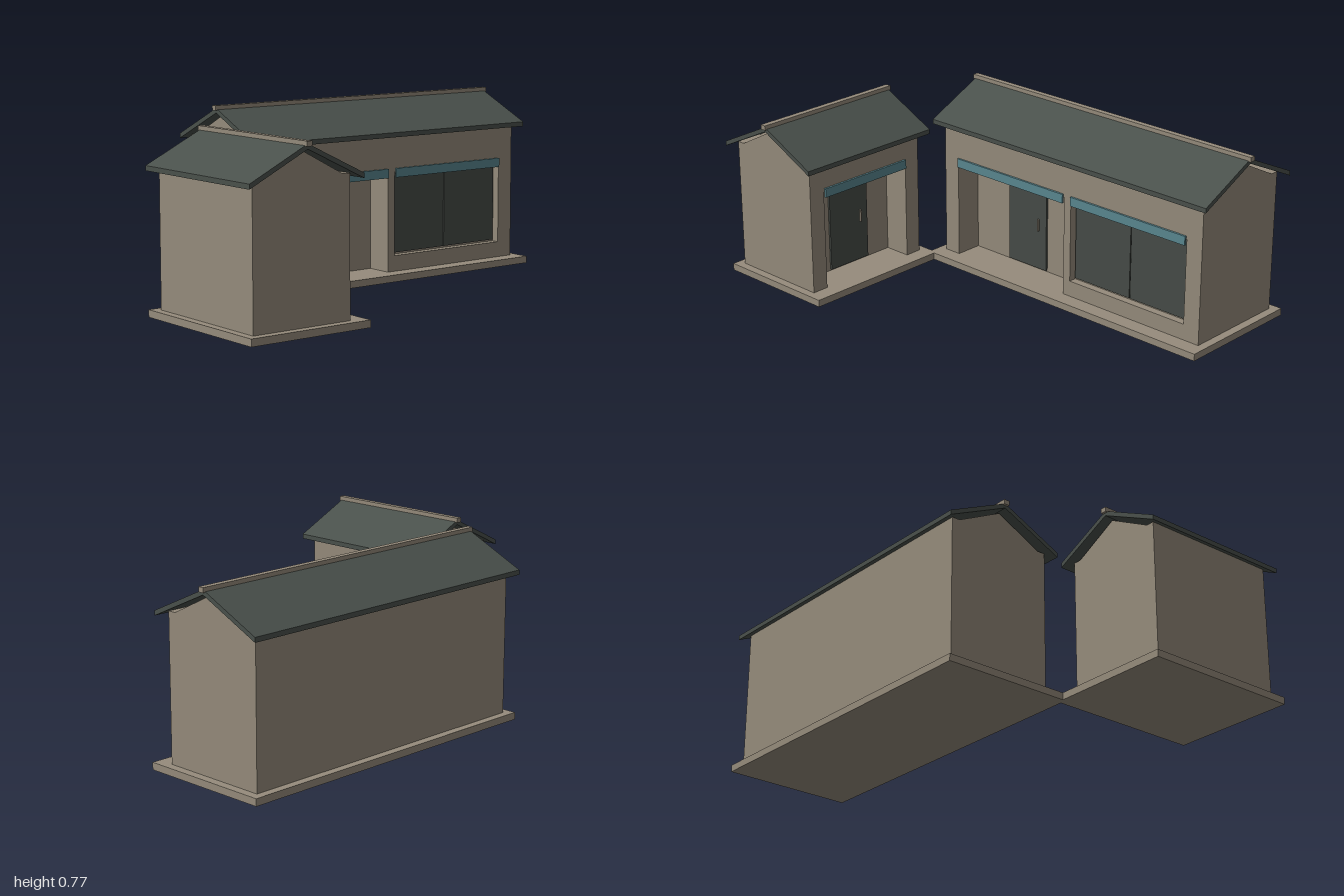
import * as THREE from 'three';

const mat = (name, color) => {
  const m = new THREE.MeshStandardMaterial({ color });
  m.name = name;
  return m;
};

export function createModel() {
  const plaster = mat('taupe plaster', 0x968c7c);
  const slate = mat('dark slate', 0x4a514c);
  const glass = mat('dark glass', 0x474c48);
  const teal = mat('teal fascia', 0x5a8891);

  // Box given by its ranges on each axis
  function box(parent, name, m, [x0, x1], [y0, y1], [z0, z1]) {
    const mesh = new THREE.Mesh(new THREE.BoxGeometry(x1 - x0, y1 - y0, z1 - z0), m);
    mesh.position.set((x0 + x1) / 2, (y0 + y1) / 2, (z0 + z1) / 2);
    mesh.name = name;
    parent.add(mesh);
    return mesh;
  }

  // Cross-section in (depth, height) swept along the building's length
  function sweep(parent, name, m, points, length) {
    const shape = new THREE.Shape(points.map(p => new THREE.Vector2(...p)));
    const geo = new THREE.ExtrudeGeometry(shape, { depth: length, bevelEnabled: false });
    geo.translate(0, 0, -length / 2).rotateY(Math.PI / 2);
    const mesh = new THREE.Mesh(geo, m);
    mesh.name = name;
    parent.add(mesh);
  }

  const FLOOR = 0.03, RECESS = 0.12, OPEN_TOP = 0.46, BAND = [0.436, 0.475];

  // One shop: front faces local +z, length runs along local x
  function building(name, { L, D, H, span, porch, doorX, win }) {
    const g = new THREE.Group();
    g.name = name;
    const l = L / 2, d = D / 2;

    // Plinth and solid body behind the porch
    box(g, 'plinth', plaster, [-l - 0.036, l + 0.036], [0, FLOOR], [-d - 0.034, d + 0.07]);
    box(g, 'body', plaster, [-l, l], [FLOOR, H], [-d, d - RECESS]);

    // Front wall with the porch opening and an optional window hole
    const wall = new THREE.Shape();
    [[-l, FLOOR], [porch[0], FLOOR], [porch[0], OPEN_TOP], [porch[1], OPEN_TOP],
      [porch[1], FLOOR], [l, FLOOR], [l, H], [-l, H]]
      .forEach(([x, y], i) => (i ? wall.lineTo(x, y) : wall.moveTo(x, y)));
    if (win) {
      const hole = new THREE.Path();
      hole.moveTo(win[0], 0.098).lineTo(win[0], OPEN_TOP)
        .lineTo(win[1], OPEN_TOP).lineTo(win[1], 0.098);
      hole.closePath();
      wall.holes.push(hole);
    }
    const front = new THREE.Mesh(
      new THREE.ExtrudeGeometry(wall, { depth: RECESS, bevelEnabled: false }), plaster);
    front.position.z = d - RECESS;
    front.name = 'frontWall';
    g.add(front);

    // Door and handle at the back of the porch
    const dz = d - RECESS;
    box(g, 'door', glass, [doorX - 0.106, doorX + 0.106], [FLOOR + 0.006, 0.445], [dz, dz + 0.009]);
    box(g, 'doorHandle', plaster, [doorX + 0.061, doorX + 0.067], [0.21, 0.263], [dz + 0.009, dz + 0.018]);

    // Window: backing frame with two panes
    if (win) {
      const mid = (win[0] + win[1]) / 2;
      box(g, 'windowFrame', plaster, win, [0.098, OPEN_TOP], [d - 0.06, d - 0.034]);
      box(g, 'windowPane', glass, [win[0] + 0.007, mid - 0.002], [0.106, 0.45], [d - 0.034, d - 0.026]);
      box(g, 'windowPane', glass, [mid + 0.002, win[1] - 0.007], [0.106, 0.45], [d - 0.034, d - 0.026]);
    }

    // Coloured fascia bands over the openings
    for (const o of win ? [porch, win] : [porch])
      box(g, 'fasciaBand', teal, [o[0] + 0.003, o[1] - 0.003], BAND, [d, d + 0.009]);

    // Gable, eave plates, roof and ridge cap
    sweep(g, 'gable', plaster, [[-d, H], [d, H], [0, H + 0.118]], L);
    for (const s of [-1, 1]) {
      const z = [s * d, s * (d - 0.042)].sort((a, b) => a - b);
      box(g, 'eavePlate', plaster, [-l, l], [H, H + 0.018], z);
    }
    sweep(g, 'roof', slate, [[-span, H], [0, H + 0.126], [span, H],
      [span, H + 0.02], [0, H + 0.146], [-span, H + 0.02]], L + 0.074);
    box(g, 'ridgeCap', plaster, [-l - 0.047, l + 0.047], [H + 0.137, H + 0.157], [-0.0125, 0.0125]);
    return g;
  }

  const model = new THREE.Group();
  model.name = 'shops';

  const main = building('mainShop', {
    L: 1.388, D: 0.47, H: 0.612, span: 0.272,
    porch: [-0.617, -0.014], doorX: -0.316, win: [0.022, 0.618],
  });
  main.position.set(0.253, 0, -0.355);

  // Smaller shop turned so that its front faces +x
  const side = building('sideShop', {
    L: 0.613, D: 0.445, H: 0.57, span: 0.26,
    porch: [-0.232, 0.232], doorX: 0,
  });
  side.rotation.y = Math.PI / 2;
  side.position.set(-0.741, 0, 0.278);

  model.add(main, side);
  return model;
}
